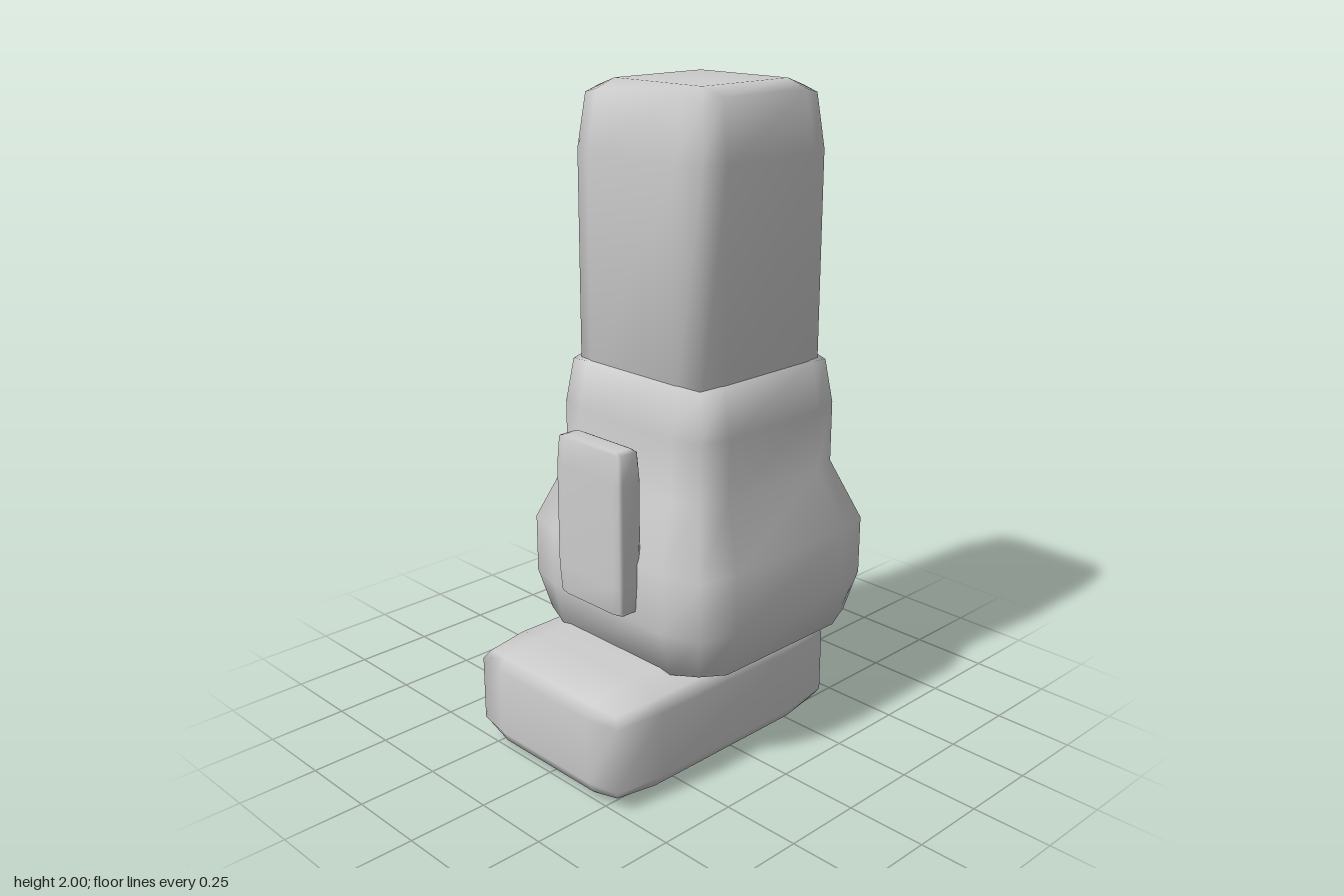
import * as THREE from 'three';
import { mergeVertices } from 'three/addons/utils/BufferGeometryUtils.js';

// Twelve-point rounded rectangle: half sizes h, straight half lengths s, corner position c.
function ring({ y, h, s, c = h, drop = 0 }) {
  const [hx, hz] = h, [sx, sz] = s, [cx, cz] = c;
  const yc = y + drop;
  return [
    [hx, y, sz], [hx, y, -sz], [cx, yc, -cz],
    [sx, y, -hz], [-sx, y, -hz], [-cx, yc, -cz],
    [-hx, y, -sz], [-hx, y, sz], [-cx, yc, cz],
    [-sx, y, hz], [sx, y, hz], [cx, yc, cz],
  ];
}

// Smooth closed skin through rings listed from bottom to top.
function loft(sections) {
  const rings = sections.map(ring);
  const n = 12, last = rings.length - 1;
  const points = rings.flat();
  const index = [];
  for (let r = 0; r < last; r++) {
    for (let i = 0; i < n; i++) {
      const j = (i + 1) % n;
      const a = r * n + i, b = r * n + j;
      index.push(a, b, b + n, a, b + n, a + n);
    }
  }
  // End caps
  const bottom = points.push([0, sections[0].y, 0]) - 1;
  const top = points.push([0, sections[last].y, 0]) - 1;
  for (let i = 0; i < n; i++) {
    const j = (i + 1) % n;
    index.push(bottom, j, i, top, last * n + i, last * n + j);
  }
  const geometry = new THREE.BufferGeometry();
  geometry.setAttribute('position', new THREE.Float32BufferAttribute(points.flat(), 3));
  geometry.setIndex(index);
  const merged = mergeVertices(geometry, 1e-4);
  merged.computeVertexNormals();
  return merged;
}

// Square section shorthand
const sq = (y, h, s, c = h, drop = 0) => ({ y, h: [h, h], s: [s, s], c: [c, c], drop });

export function createModel() {
  const group = new THREE.Group();
  const grey = new THREE.MeshStandardMaterial({ color: 0xcccccc });
  grey.name = 'plain grey';

  const add = (name, sections, z) => {
    const mesh = new THREE.Mesh(loft(sections), grey);
    mesh.name = name;
    mesh.position.z = z;
    group.add(mesh);
  };

  // Upper leg, its lower end sunk into the shin
  add('thigh', [
    sq(1.1, 0.28, 0.18, 0.253),
    sq(1.8, 0.28, 0.18, 0.253),
    sq(1.975, 0.25, 0.17, 0.235, -0.015),
    sq(2, 0.175, 0.175),
  ], -0.127);

  // Flared shin with a narrow collar
  add('shin', [
    sq(0.305, 0.24, 0.24),
    sq(0.32, 0.36, 0.24, 0.33, 0.015),
    sq(0.465, 0.395, 0.24, 0.36),
    sq(0.65, 0.395, 0.24, 0.36),
    sq(0.84, 0.315, 0.195, 0.288),
    sq(1.03, 0.315, 0.195, 0.288),
    sq(1.178, 0.288, 0.19, 0.27, -0.012),
    sq(1.188, 0.19, 0.19),
  ], -0.127);

  // Foot block reaching forward
  const sole = { h: [0.3, 0.44], s: [0.2, 0.29], c: [0.285, 0.425] };
  const side = { h: [0.325, 0.462], s: [0.2, 0.28], c: [0.305, 0.442] };
  const flat = { h: [0.2, 0.285], s: [0.2, 0.285] };
  add('foot', [
    { y: 0, ...flat },
    { y: 0.025, ...sole, drop: 0.01 },
    { y: 0.065, ...side },
    { y: 0.27, ...side },
    { y: 0.308, ...sole, drop: -0.01 },
    { y: 0.33, ...flat },
  ], 0.061);

  // Upright guard plate in front of the shin
  const rim = { h: [0.133, 0.039], s: [0.1, 0.028], c: [0.128, 0.036] };
  const body = { h: [0.14, 0.045], s: [0.11, 0.03], c: [0.133, 0.041] };
  const end = { h: [0.11, 0.028], s: [0.11, 0.028] };
  add('shinGuard', [
    { y: 0.495, ...end },
    { y: 0.5, ...rim, drop: 0.003 },
    { y: 0.59, ...body },
    { y: 0.91, ...body },
    { y: 0.996, ...rim, drop: -0.003 },
    { y: 1.001, ...end },
  ], 0.29);

  return group;
}
